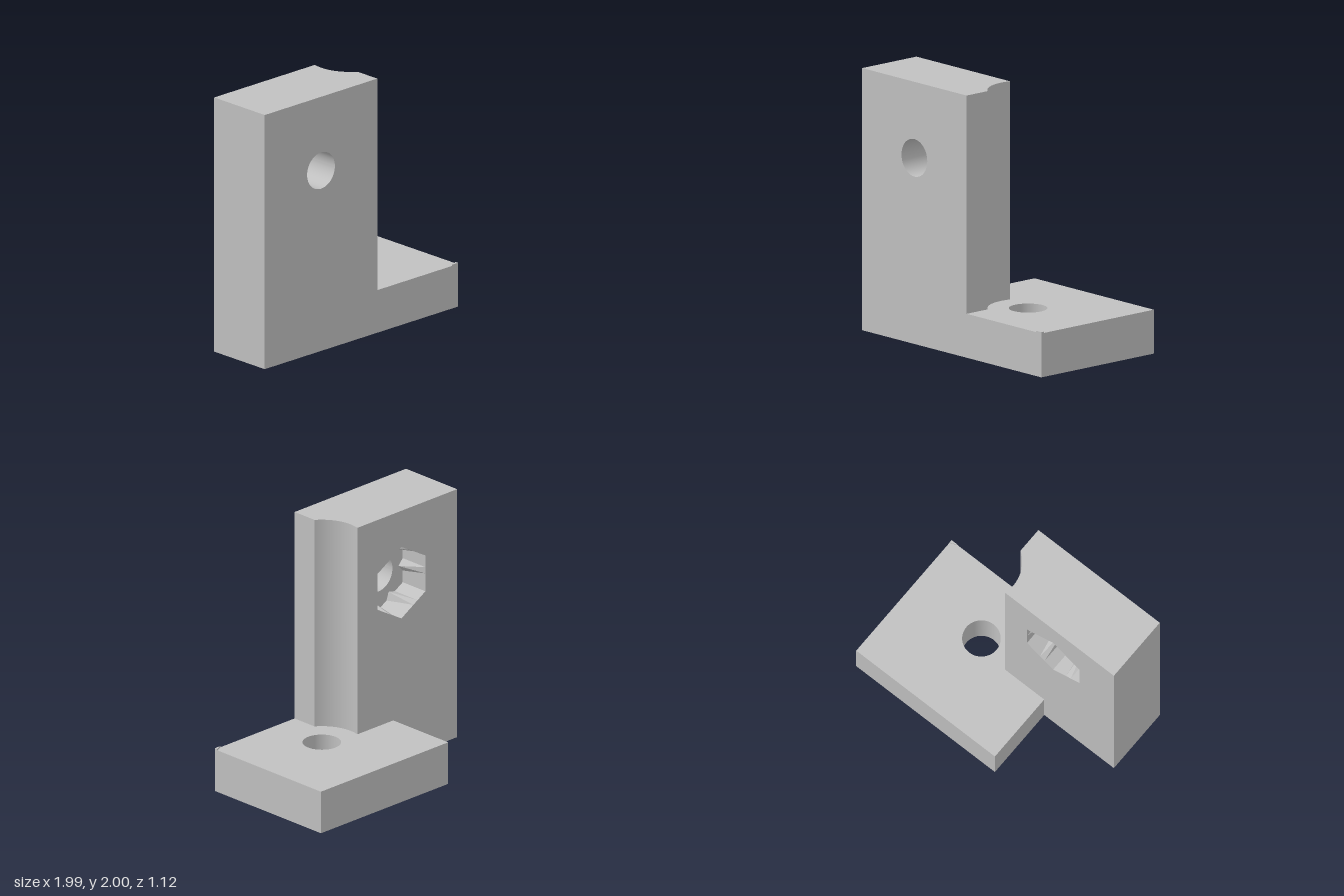
import * as THREE from 'three';
import { toCreasedNormals } from 'three/addons/utils/BufferGeometryUtils.js';

const BASE_H = 0.335, TOP = 2;
const BACK = 0.02, FRONT = 0.56, POCKET_FLOOR = 0.26;
const SPLIT = -0.1; // where the drilled wall meets the grooved edge
const BOLT = { x: -0.42, y: 1.42 }, SCREW = { x: 0.33, z: 0.1 };
const HOLE_R = 0.143;

const polygon = (pts) => new THREE.Shape(pts.map(([x, y]) => new THREE.Vector2(x, y)));
const circle = (x, y) => new THREE.Path().absarc(x, y, HOLE_R, 0, Math.PI * 2, true);

function extrude(shape, depth) {
  return new THREE.ExtrudeGeometry(shape, { depth, bevelEnabled: false, curveSegments: 48 });
}

// Plan shapes use (x, -z) and rise along y
function extrudeUp(shape, y0, y1) {
  return extrude(shape, y1 - y0).rotateX(-Math.PI / 2).translate(0, y0, 0);
}

// Hexagonal outline, points up, with three extra points on each side for a rib
function hexPoints(ribDepth) {
  const apothem = 0.25, half = apothem / Math.sqrt(3), pts = [];
  for (let i = 0; i < 6; i++) {
    const a = (i * Math.PI) / 3;
    for (const [t, inset] of [[-half, 0], [-0.05, 0], [0, ribDepth], [0.05, 0]]) {
      const r = apothem - inset;
      pts.push(new THREE.Vector2(
        BOLT.x + r * Math.cos(a) - t * Math.sin(a),
        BOLT.y + r * Math.sin(a) + t * Math.cos(a)));
    }
  }
  return pts;
}

export function createModel() {
  const group = new THREE.Group();
  const grey = new THREE.MeshStandardMaterial({ color: 0xc0c0c0 });
  grey.name = 'plain grey';

  const add = (name, geometry) => {
    const mesh = new THREE.Mesh(toCreasedNormals(geometry, 0.4), grey);
    mesh.name = name;
    group.add(mesh);
  };

  // L-shaped foot with a vertical screw hole
  const foot = polygon([[-1, -FRONT], [0.99, -FRONT], [0.99, 0.56], [-0.335, 0.56], [-0.335, -BACK], [-1, -BACK]]);
  foot.holes.push(circle(SCREW.x, -SCREW.z));
  add('foot', extrudeUp(foot, 0, BASE_H));

  // Tiny raised corner on the foot
  add('cornerNub', extrudeUp(polygon([[0.93, -FRONT], [0.99, -FRONT], [0.99, -0.535]]), BASE_H, 0.345));

  // Front layer of the upright with the round bolt hole
  const wall = () => polygon([[-1, BASE_H], [SPLIT, BASE_H], [SPLIT, TOP], [-1, TOP]]);
  const frontWall = wall();
  frontWall.holes.push(circle(BOLT.x, BOLT.y));
  add('uprightFront', extrude(frontWall, FRONT - POCKET_FLOOR).translate(0, 0, POCKET_FLOOR));

  // Back layer with the nut pocket; ribs grow inward towards its floor
  const backWall = wall();
  const rim = hexPoints(0), floor = hexPoints(0.045);
  backWall.holes.push(new THREE.Path(rim));
  const depth = POCKET_FLOOR - BACK;
  const pocket = extrude(backWall, depth);
  const pos = pocket.attributes.position;
  for (let i = 0; i < pos.count; i++) {
    if (pos.getZ(i) < depth / 2) continue;
    const k = rim.findIndex((p) => Math.hypot(p.x - pos.getX(i), p.y - pos.getY(i)) < 1e-4);
    if (k >= 0) pos.setXY(i, floor[k].x, floor[k].y);
  }
  pocket.computeVertexNormals();
  pocket.translate(0, 0, BACK);
  const back = new THREE.Mesh(pocket, grey);
  back.name = 'uprightBackWithNutPocket';
  group.add(back);

  // Edge of the upright, cut by a round groove that clears the screw head
  const edge = new THREE.Shape();
  edge.moveTo(SPLIT, -FRONT);
  edge.lineTo(0.16, -FRONT);
  edge.lineTo(0.16, -0.35);
  edge.absarc(SCREW.x, -SCREW.z, 0.302, Math.PI + 0.974, Math.PI - 0.268, true);
  edge.lineTo(SPLIT, -BACK);
  edge.closePath();
  add('groovedEdge', extrudeUp(edge, BASE_H, TOP));

  return group;
}
